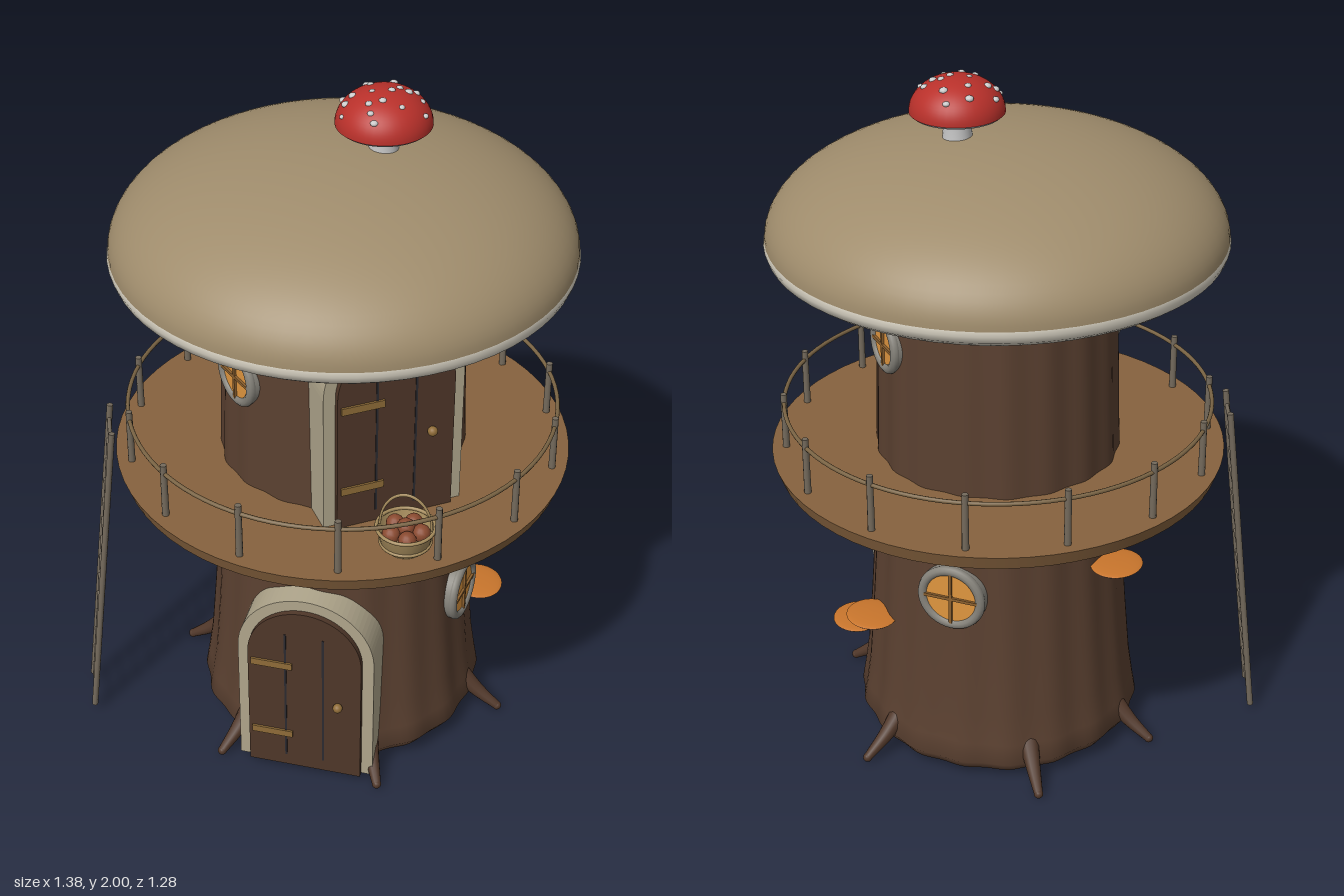
import * as THREE from 'three';
import { mergeVertices } from 'three/addons/utils/BufferGeometryUtils.js';

const mat = (color, side = THREE.FrontSide) => new THREE.MeshStandardMaterial({ color, side });
const M = {
  bark: mat(0x5a4030), root: mat(0x503729), door: mat(0x4f3729), groove: mat(0x2b2a30),
  frame: mat(0xb0a68c), brass: mat(0x8f6c38), deck: mat(0x86623e), wood: mat(0x746a5c),
  rope: mat(0x7a6444), cap: mat(0x9f8c6c), cream: mat(0xd5cfc0), red: mat(0xb8302a),
  white: mat(0xd8d8d4), ring: mat(0x85827a), glass: mat(0xe0963f), bar: mat(0x8c602e),
  fungus: mat(0xc8752c), gill: mat(0x77736b), basket: mat(0xa58b5c, THREE.DoubleSide), fruit: mat(0x8a4a30),
};
const V = (x, y, z) => new THREE.Vector3(x, y, z);
const rad = THREE.MathUtils.degToRad;

function add(parent, name, geo, material, x = 0, y = 0, z = 0) {
  const mesh = new THREE.Mesh(geo, material);
  mesh.name = name;
  mesh.position.set(x, y, z);
  parent.add(mesh);
  return mesh;
}

// Group turned about the tower axis; its +z points outward (0 = front, 90 = +x)
function around(parent, name, degrees, y = 0) {
  const g = new THREE.Group();
  g.name = name;
  g.rotation.y = rad(degrees);
  g.position.y = y;
  parent.add(g);
  return g;
}

const lathe = (pts, seg = 64) => new THREE.LatheGeometry(pts.map(p => new THREE.Vector2(...p)), seg);

// Round bar between two points
function rod(parent, name, a, b, r, material) {
  const m = add(parent, name, new THREE.CylinderGeometry(r, r, a.distanceTo(b), 8), material);
  m.position.copy(a).add(b).multiplyScalar(0.5);
  m.quaternion.setFromUnitVectors(V(0, 1, 0), b.clone().sub(a).normalize());
  return m;
}

// Elliptical dome profile from rim to crown
const dome = (r, y, h, n = 18) => Array.from({ length: n + 1 }, (_, i) => {
  const a = i / n * Math.PI / 2;
  return [i === n ? 0 : r * Math.cos(a), y + h * Math.sin(a)];
});

// Trunk: turned profile with rippled bark
function trunk(parent) {
  const profile = [[0, 0.02], [0.34, 0.02], [0.385, 0.035], [0.41, 0.07], [0.4, 0.13], [0.387, 0.22],
    [0.372, 0.4], [0.358, 0.6], [0.345, 0.87], [0.335, 1.2], [0.325, 1.5], [0.32, 1.6]];
  let geo = lathe(profile, 128);
  const p = geo.attributes.position;
  for (let i = 0; i < p.count; i++) {
    const a = Math.atan2(p.getX(i), p.getZ(i));
    const k = 1 + 0.01 * Math.sin(18 * a) + 0.006 * Math.sin(7 * a + 1);
    p.setX(i, p.getX(i) * k);
    p.setZ(i, p.getZ(i) * k);
  }
  geo.deleteAttribute('uv');
  geo.deleteAttribute('normal');
  geo = mergeVertices(geo);
  geo.computeVertexNormals();
  add(parent, 'trunk', geo, M.bark);
}

// Arched door with surround, planks, hinges and knob; front is the outer face distance
function door(parent, name, degrees, y, front) {
  const g = around(parent, name, degrees, y);
  const arch = (w, h, depth) => {
    const s = new THREE.Shape();
    s.moveTo(-w, 0);
    s.lineTo(w, 0);
    s.lineTo(w, h - w);
    s.absarc(0, h - w, w, 0, Math.PI, false);
    s.lineTo(-w, 0);
    return new THREE.ExtrudeGeometry(s, { depth, bevelEnabled: false, curveSegments: 20 });
  };
  add(g, 'doorFrame', arch(0.198, 0.615, 0.24), M.frame, 0, 0, front - 0.257);
  add(g, 'doorPanel', arch(0.165, 0.582, 0.05), M.door, 0, 0, front - 0.05);
  for (const x of [-0.055, 0.055])
    add(g, 'plankGroove', new THREE.BoxGeometry(0.006, 0.46, 0.004), M.groove, x, 0.27, front);
  for (const h of [0.125, 0.385])
    add(g, 'hinge', new THREE.BoxGeometry(0.12, 0.022, 0.012), M.brass, -0.095, h, front);
  add(g, 'knob', new THREE.SphereGeometry(0.014, 16, 12), M.brass, 0.1, 0.265, front + 0.01);
}

// Round window with crossed bars
function roundWindow(parent, degrees, y, r, dist) {
  const g = around(parent, 'roundWindow', degrees, y);
  add(g, 'windowRing', new THREE.TorusGeometry(r - 0.012, 0.014, 10, 40), M.ring, 0, 0, dist);
  const pane = add(g, 'windowGlass', new THREE.CylinderGeometry(r - 0.012, r - 0.012, 0.06, 40), M.glass, 0, 0, dist - 0.025);
  pane.rotation.x = Math.PI / 2;
  const back = add(g, 'windowSurround', new THREE.CylinderGeometry(r, r, 0.06, 40), M.ring, 0, 0, dist - 0.035);
  back.rotation.x = Math.PI / 2;
  add(g, 'windowBar', new THREE.BoxGeometry(2 * r - 0.03, 0.009, 0.01), M.bar, 0, 0, dist + 0.007);
  add(g, 'windowBar', new THREE.BoxGeometry(0.009, 2 * r - 0.03, 0.01), M.bar, 0, 0, dist + 0.007);
}

// Thin shelf fungus, orange above and grey below
function shelfFungus(parent, degrees, y, dist) {
  const g = around(parent, 'shelfFungus', degrees, y);
  const top = add(g, 'fungusTop', lathe(dome(0.08, 0, 0.008, 6), 28), M.fungus, 0, 0, dist);
  const under = add(g, 'fungusUnderside', new THREE.CylinderGeometry(0.08, 0.074, 0.005, 28), M.gill, 0, -0.0025, dist);
  top.scale.z = under.scale.z = 0.9;
}

// Basket with arched handle and fruit
function basket(parent, x, y, z) {
  const g = new THREE.Group();
  g.name = 'basket';
  g.position.set(x, y, z);
  parent.add(g);
  add(g, 'basketBowl', lathe([[0, 0.003], [0.05, 0.003], [0.066, 0.025], [0.078, 0.075]], 28), M.basket);
  for (const [r, h] of [[0.078, 0.075], [0.067, 0.028]]) {
    const hoop = add(g, 'basketHoop', new THREE.TorusGeometry(r, 0.005, 8, 32), M.basket, 0, h, 0);
    hoop.rotation.x = Math.PI / 2;
  }
  const handle = add(g, 'basketHandle', new THREE.TorusGeometry(0.07, 0.0035, 8, 28, Math.PI), M.basket, 0, 0.072, 0);
  handle.scale.y = 1.5;
  for (let i = 0; i < 6; i++) {
    const a = i * Math.PI / 2.5, r = i < 5 ? 0.042 : 0;
    add(g, 'fruit', new THREE.SphereGeometry(0.025, 14, 10), M.fruit, r * Math.cos(a), 0.06 + (i === 5 ? 0.012 : 0), r * Math.sin(a));
  }
}

// Small red mushroom with white spots
function topMushroom(parent, x, z) {
  const g = new THREE.Group();
  g.name = 'topMushroom';
  g.position.set(x, 0, z);
  parent.add(g);
  add(g, 'smallStem', lathe([[0.042, 1.8], [0.038, 1.86], [0.045, 1.91]], 28), M.white);
  add(g, 'smallCap', lathe(dome(0.128, 1.903, 0.097), 40), M.red);
  add(g, 'smallCapUnderside', lathe([[0, 1.905], [0.08, 1.896], [0.12, 1.896], [0.128, 1.903]], 40), M.white);
  let seed = 11;
  const rnd = () => (seed = (seed * 16807) % 2147483647) / 2147483647;
  for (let i = 0; i < 20; i++) {
    const a = i * 2.4 + rnd(), t = Math.sqrt((i + 0.5) / 20) * 0.93, r = 0.126 * t;
    const spot = add(g, 'spot', new THREE.SphereGeometry(0.008 + 0.005 * rnd(), 10, 8), M.white,
      r * Math.cos(a), 1.903 + 0.095 * Math.sqrt(1 - t * t), r * Math.sin(a));
    spot.scale.y = 0.7;
  }
}

export function createModel() {
  const model = new THREE.Group();
  model.name = 'mushroomTower';
  const tower = new THREE.Group();
  tower.name = 'tower';
  tower.position.x = 0.047;
  model.add(tower);

  trunk(tower);

  // Roots splaying out at the base
  for (const a of [26, 86, 150, -146, -96, -31]) {
    const path = new THREE.CatmullRomCurve3([V(0, 0.14, 0.36), V(0, 0.07, 0.43), V(0, 0.022, 0.495)]);
    const geo = new THREE.TubeGeometry(path, 10, 0.032, 12);
    const p = geo.attributes.position;
    for (let i = 0; i < p.count; i++) {
      const t = Math.floor(i / 13) / 10, c = path.getPointAt(t);
      const v = V(p.getX(i), p.getY(i), p.getZ(i)).lerp(c, 0.6 * t);
      p.setXYZ(i, v.x, v.y, v.z);
    }
    const g = around(tower, 'root', a);
    add(g, 'rootBody', geo, M.root);
    add(g, 'rootTip', new THREE.SphereGeometry(0.0135, 12, 8), M.root, 0, 0.022, 0.495);
  }

  door(tower, 'lowerDoor', 0, 0.03, 0.437);
  door(tower, 'upperDoor', 35, 0.915, 0.39);

  roundWindow(tower, -43, 1.25, 0.086, 0.338);
  roundWindow(tower, 137, 1.29, 0.08, 0.338);
  roundWindow(tower, 81, 0.48, 0.092, 0.378);
  roundWindow(tower, 180, 0.6, 0.098, 0.366);

  shelfFungus(tower, -104, 0.64, 0.405);
  shelfFungus(tower, 114, 0.32, 0.42);
  shelfFungus(tower, 138, 0.44, 0.41);

  // Balcony with posts and rail
  add(tower, 'balcony', new THREE.CylinderGeometry(0.64, 0.625, 0.042, 64), M.deck, 0, 0.898, 0);
  for (let k = 0; k < 14; k++) {
    const a = k / 14 * Math.PI * 2;
    add(tower, 'railPost', new THREE.CylinderGeometry(0.009, 0.01, 0.17, 10), M.wood, 0.6 * Math.cos(a), 1.0, 0.6 * Math.sin(a));
  }
  const rail = add(tower, 'rail', new THREE.TorusGeometry(0.6, 0.006, 8, 96), M.rope, 0, 1.058, 0);
  rail.rotation.x = Math.PI / 2;

  // Ladder leaning on the balcony
  const ladder = around(tower, 'ladder', -69);
  const at = (x, t) => V(x, 0.03 + t, 0.757 - 0.108 * t);
  for (const x of [-0.07, 0.07]) rod(ladder, 'ladderRail', at(x, 0), at(x, 1), 0.009, M.wood);
  for (let i = 0; i < 14; i++) {
    const t = 0.045 + i * 0.07;
    rod(ladder, 'ladderRung', at(-0.075, t), at(0.075, t), 0.006, M.wood);
  }

  basket(tower, 0.283, 0.919, 0.45);

  // Big cap with pale rim and hollow underside
  add(tower, 'bigCap', lathe(dome(0.627, 1.56, 0.278, 24)), M.cap);
  add(tower, 'bigCapUnderside', lathe([[0.28, 1.57], [0.4, 1.55], [0.5, 1.52], [0.56, 1.508], [0.6, 1.513],
    [0.623, 1.53], [0.63, 1.55], [0.627, 1.563]]), M.cream);

  topMushroom(tower, 0.095, -0.043);
  return model;
}
